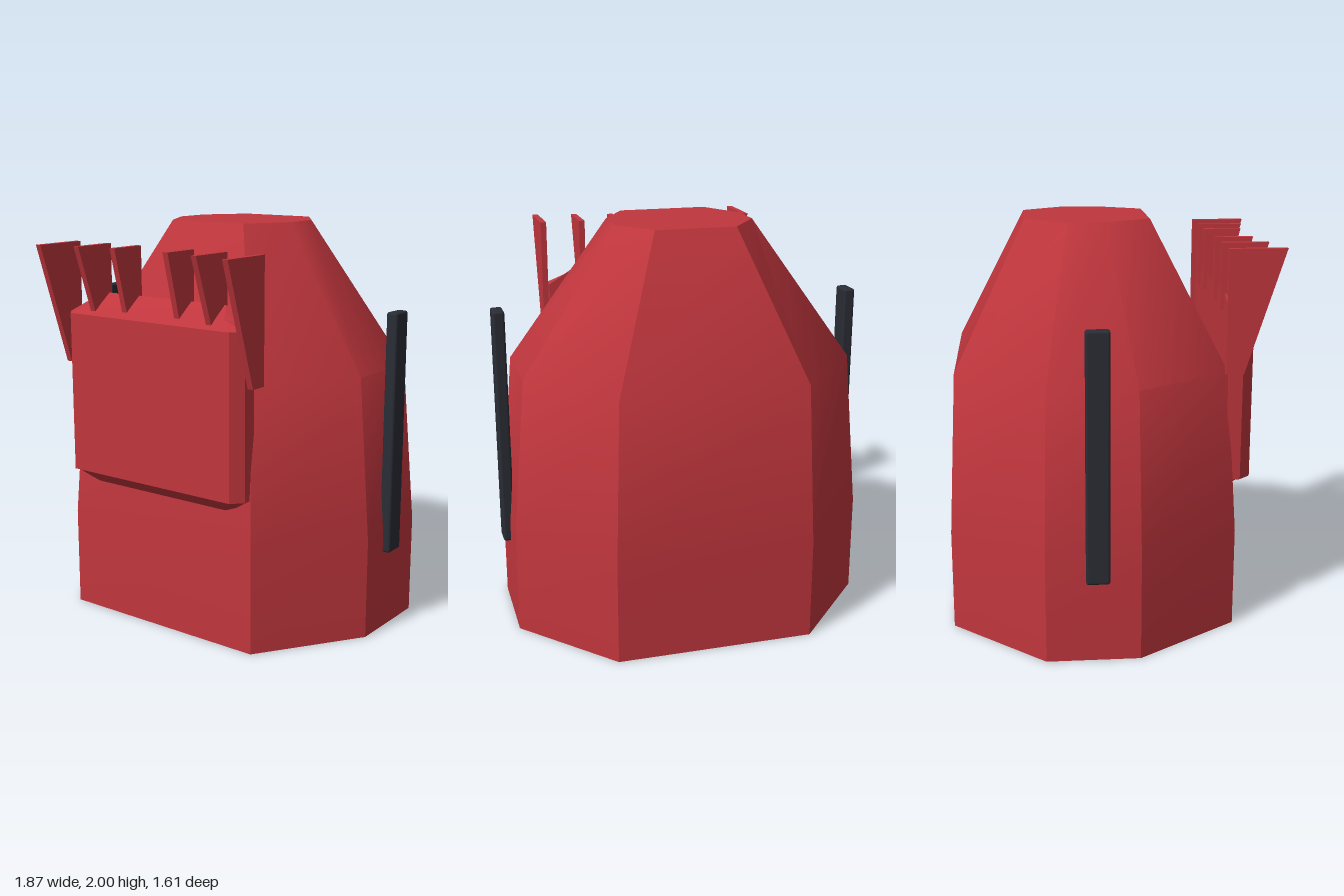
import * as THREE from 'three';
import { toCreasedNormals } from 'three/addons/utils/BufferGeometryUtils.js';
import { RoundedBoxGeometry } from 'three/addons/geometries/RoundedBoxGeometry.js';

// Skins a stack of convex loops (counter-clockwise seen from the last loop) and caps both ends.
function loft(rings, crease) {
  const n = rings[0].length;
  const index = [];
  for (let r = 0; r < rings.length - 1; r++) {
    for (let i = 0; i < n; i++) {
      const a = r * n + i, b = r * n + (i + 1) % n;
      index.push(a, b, b + n, a, b + n, a + n);
    }
  }
  const last = (rings.length - 1) * n;
  for (let i = 1; i < n - 1; i++) {
    index.push(0, i + 1, i, last, last + i, last + i + 1);
  }
  const geo = new THREE.BufferGeometry();
  geo.setAttribute('position', new THREE.Float32BufferAttribute(rings.flat(2), 3));
  geo.setIndex(index);
  return toCreasedNormals(geo, crease);
}

// Eight-sided horizontal section, mirrored left to right.
function bodyRing(y, front, frontX, sideX, sideFront, sideBack, back, backX) {
  const half = [[frontX, y, front], [sideX, y, sideFront], [sideX, y, sideBack], [backX, y, back]];
  return [...half, ...half.map(([x, h, z]) => [-x, h, z]).reverse()];
}

// Eight-sided upright section of the front panel, centred on y = 1.16.
function panelRing(z, sideX, endX, endHalf) {
  const half = [[endX, -endHalf], [sideX, -0.4], [sideX, 0.4], [endX, endHalf]];
  return [...half, ...half.map(([x, y]) => [-x, y]).reverse()].map(([x, y]) => [x, 1.16 + y, z]);
}

// Upright blade that widens forward towards its top.
function finGeometry(bottom, bottomFront, topFront) {
  const back = 0.53, top = 1.9, width = 0.03;
  const shape = new THREE.Shape([
    new THREE.Vector2(-back, bottom), new THREE.Vector2(-back, top),
    new THREE.Vector2(-topFront, top), new THREE.Vector2(-bottomFront, bottom),
  ]);
  const geo = new THREE.ExtrudeGeometry(shape, { depth: width, bevelEnabled: false });
  geo.translate(0, 0, -width / 2);
  geo.rotateY(Math.PI / 2);
  return geo;
}

export function createModel() {
  const red = new THREE.MeshStandardMaterial({ color: 0xc0363d });
  red.name = 'red shell';
  const dark = new THREE.MeshStandardMaterial({ color: 0x2a2d35 });
  dark.name = 'dark trim';

  const model = new THREE.Group();
  model.name = 'model';
  const add = (name, geometry, material) => {
    const mesh = new THREE.Mesh(geometry, material);
    mesh.name = name;
    model.add(mesh);
    return mesh;
  };

  // Tapered eight-sided body
  add('body', loft([
    bodyRing(0, 0.6, 0.56, 0.9, 0.1, -0.35, -0.8, 0.49),
    bodyRing(0.5, 0.6, 0.56, 0.9, 0.1, -0.35, -0.8, 0.49),
    bodyRing(1.3, 0.55, 0.52, 0.83, 0.09, -0.335, -0.76, 0.46),
    bodyRing(2, 0.2, 0.22, 0.345, -0.02, -0.21, -0.41, 0.2),
  ], THREE.MathUtils.degToRad(33)), red);

  // Raised front panel with sloping rim
  add('frontPanel', loft([
    panelRing(0.55, 0.54, 0.38, 0.5),
    panelRing(0.62, 0.54, 0.42, 0.446),
    panelRing(0.675, 0.49, 0.45, 0.4),
  ], THREE.MathUtils.degToRad(20)), red);

  const fins = [
    ['outerFin', 0.565, finGeometry(1.3, 0.615, 0.805)],
    ['middleFin', 0.357, finGeometry(1.57, 0.65, 0.76)],
    ['innerFin', 0.162, finGeometry(1.58, 0.64, 0.72)],
  ];
  const barGeometry = new RoundedBoxGeometry(0.058, 1.2, 0.112, 2, 0.012);

  for (const [side, s] of [['left', 1], ['right', -1]]) {
    // Fins along the top of the panel
    for (const [name, x, geometry] of fins) {
      add(`${side} ${name}`, geometry, red).position.x = s * x;
    }
    // Upright side bars
    add(`${side} sideBar`, barGeometry, dark).position.set(s * 0.907, 1, -0.105);
  }
  return model;
}
